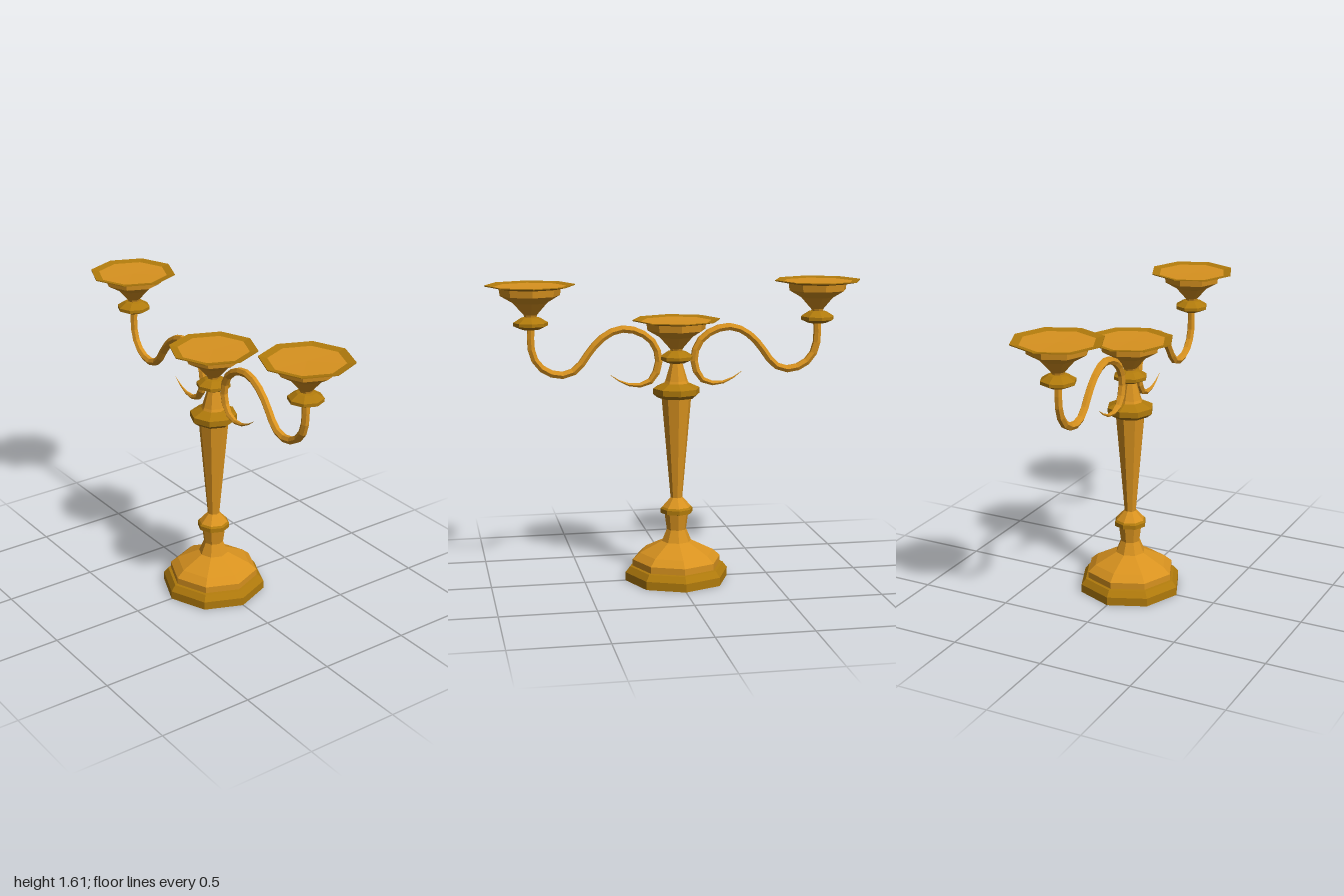
import * as THREE from 'three';

const gold = new THREE.MeshStandardMaterial({ color: 0xd8921f, flatShading: true });
gold.name = 'gold';
const darkGold = new THREE.MeshStandardMaterial({ color: 0xb07a0c, flatShading: true });
darkGold.name = 'dark gold';

// Eight-sided turned part; profile is [radius, height] from bottom to top
function turned(name, profile, material) {
  const points = profile.map(([r, y]) => new THREE.Vector2(r, y));
  const mesh = new THREE.Mesh(new THREE.LatheGeometry(points, 8), material);
  mesh.name = name;
  return mesh;
}

// Candle cup with knop, bowl and drip dish; heights relative to the knop's bottom
function candleCup(name) {
  const cup = new THREE.Group();
  cup.name = name;
  cup.add(
    turned('cupKnop', [[0, 0], [0.05, 0], [0.09, 0.018], [0.09, 0.035], [0.05, 0.06], [0.03, 0.065]], darkGold),
    turned('cupBowl', [[0.03, 0.06], [0.035, 0.075], [0.09, 0.137], [0.155, 0.175], [0.16, 0.212]], gold),
    turned('dripDish', [[0.155, 0.21], [0.234, 0.225], [0.234, 0.23], [0.19, 0.222]], darkGold),
    turned('dishFloor', [[0.19, 0.222], [0, 0.22]], gold)
  );
  return cup;
}

// Scrolled arm tapering to a point at its inner curl
function scrollArm() {
  const path = [
    [0.765, 1.39], [0.765, 1.275], [0.73, 1.19], [0.65, 1.14], [0.57, 1.14], [0.515, 1.18],
    [0.445, 1.275], [0.365, 1.345], [0.285, 1.37], [0.195, 1.35], [0.125, 1.295], [0.095, 1.215],
    [0.105, 1.145], [0.14, 1.09], [0.21, 1.068], [0.285, 1.085], [0.355, 1.13]
  ];
  const curve = new THREE.CatmullRomCurve3(path.map(([z, y]) => new THREE.Vector3(0, y, z)));
  const rings = 24, sides = 6;
  const geometry = new THREE.TubeGeometry(curve, rings, 0.021, sides);
  const pos = geometry.attributes.position;
  const v = new THREE.Vector3();
  for (let i = 0; i <= rings; i++) {
    const t = i / rings;
    const centre = curve.getPointAt(t);
    const scale = t < 0.8 ? 1 : Math.max(0.03, (1 - t) / 0.2);
    for (let j = 0; j <= sides; j++) {
      const k = i * (sides + 1) + j;
      v.fromBufferAttribute(pos, k).sub(centre).multiplyScalar(scale).add(centre);
      pos.setXYZ(k, v.x, v.y, v.z);
    }
  }
  const mesh = new THREE.Mesh(geometry, gold);
  mesh.name = 'scrollArm';
  return mesh;
}

export function createModel() {
  const model = new THREE.Group();
  model.name = 'candelabra';

  // Foot and central column
  model.add(
    turned('footBand', [[0, 0.005], [0.28, 0.005], [0.28, 0.05], [0.255, 0.082], [0.24, 0.085]], darkGold),
    turned('footDome', [[0.24, 0.08], [0.24, 0.12], [0.2, 0.155], [0.08, 0.215], [0.053, 0.28], [0.065, 0.37]], gold),
    turned('lowerKnop', [[0.06, 0.365], [0.087, 0.372], [0.087, 0.395], [0.078, 0.405]], darkGold),
    turned('shaft', [[0.078, 0.405], [0.032, 0.455], [0.08, 1.0]], gold),
    turned('collar', [[0.07, 1.0], [0.1, 1.0], [0.125, 1.02], [0.125, 1.05], [0.06, 1.08]], darkGold),
    turned('neck', [[0.07, 1.07], [0.06, 1.09], [0.03, 1.19]], gold)
  );
  const centreCup = candleCup('centreCup');
  centreCup.position.y = 1.185;
  model.add(centreCup);

  // Front and back arms, each with its own cup
  for (const [name, turn] of [['frontArm', 0], ['backArm', Math.PI]]) {
    const arm = new THREE.Group();
    arm.name = name;
    const cup = candleCup('armCup');
    cup.position.set(0, 1.38, 0.766);
    arm.add(scrollArm(), cup);
    arm.rotation.y = turn;
    model.add(arm);
  }
  return model;
}
